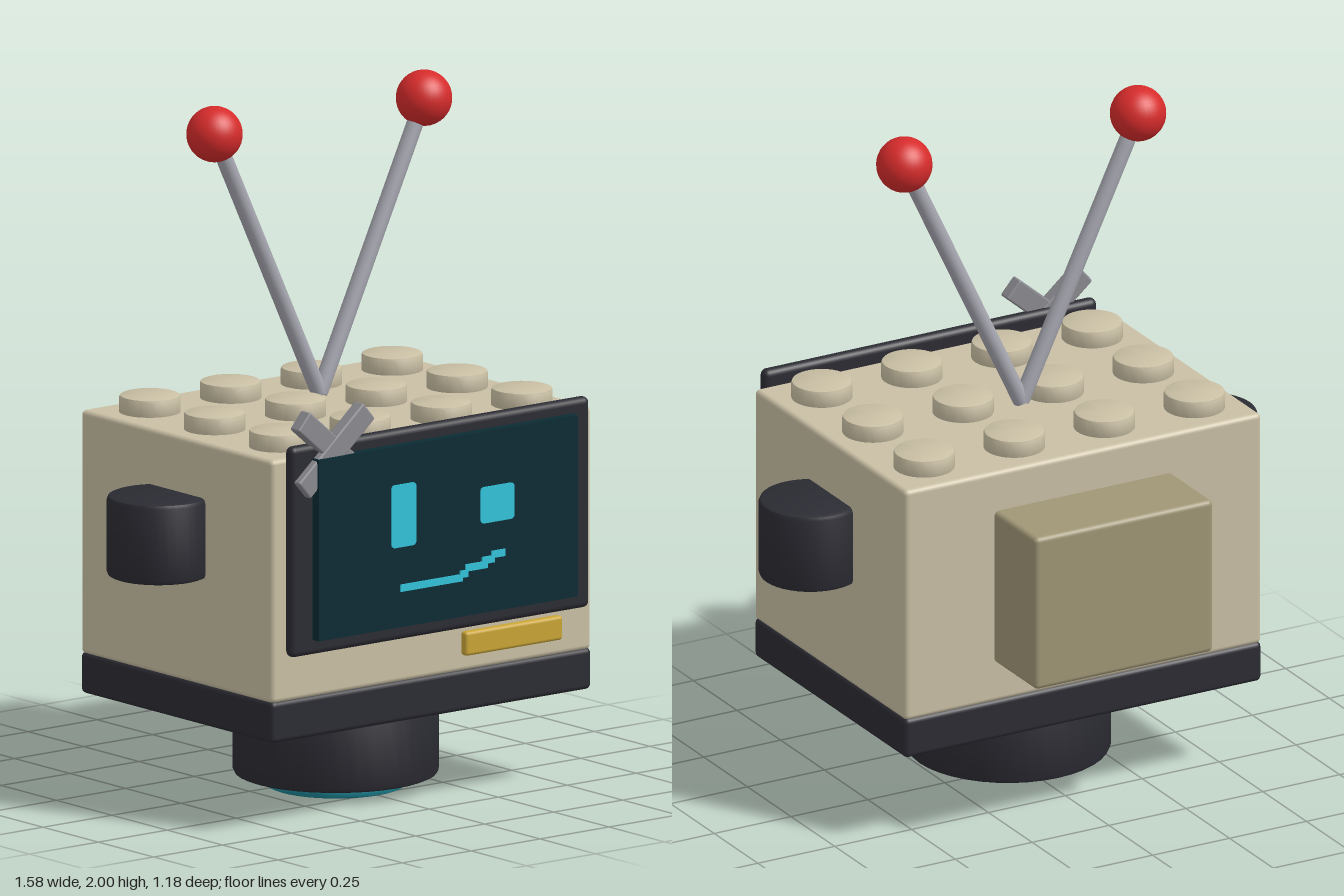
import * as THREE from 'three';
import { toCreasedNormals } from 'three/addons/utils/BufferGeometryUtils.js';
import { RoundedBoxGeometry } from 'three/addons/geometries/RoundedBoxGeometry.js';

const mat = (name, color) => {
  const m = new THREE.MeshStandardMaterial({ color });
  m.name = name;
  return m;
};

export function createModel() {
  const beige = mat('beige', 0xc9bfa4);
  const tan = mat('tan', 0xa09676);
  const charcoal = mat('charcoal', 0x2b2b33);
  const steel = mat('steel', 0xa6a6b0);
  const tapeGrey = mat('tapeGrey', 0x8a8a90);
  const red = mat('red', 0xd62b2b);
  const gold = mat('gold', 0xc9a536);
  const glass = mat('darkGlass', 0x0b2b33);
  const cyan = mat('cyan', 0x33c3da);
  const teal = mat('teal', 0x1c8494);

  const model = new THREE.Group();
  model.name = 'robot';

  const add = (name, geometry, material, x = 0, y = 0, z = 0, parent = model) => {
    const mesh = new THREE.Mesh(geometry, material);
    mesh.name = name;
    mesh.position.set(x, y, z);
    parent.add(mesh);
    return mesh;
  };

  // Softly rounded box given by its min/max extents
  const box = (name, material, [x0, x1], [y0, y1], [z0, z1], r = 0.015) =>
    add(name, new RoundedBoxGeometry(x1 - x0, y1 - y0, z1 - z0, 3, r), material,
      (x0 + x1) / 2, (y0 + y1) / 2, (z0 + z1) / 2);

  // Upright cylinder with small bevels, base at y = 0
  const drum = (r, h, b) => toCreasedNormals(new THREE.LatheGeometry([
    [0, 0], [r - b, 0], [r - b * 0.3, b * 0.3], [r, b],
    [r, h - b], [r - b * 0.3, h - b * 0.3], [r - b, h], [0, h],
  ].map(([x, y]) => new THREE.Vector2(x, y)), 40), 0.6);

  const midZ = 0.078;

  // Head, base plate and rear housing
  box('head', beige, [-0.58, 0.58], [0.385, 1.09], [-0.355, 0.512]);
  box('basePlate', charcoal, [-0.58, 0.58], [0.27, 0.39], [-0.356, 0.513]);
  box('rearHousing', tan, [-0.29, 0.29], [0.505, 0.97], [-0.59, -0.34]);

  // Neck with a hover light underneath
  add('neck', drum(0.292, 0.237, 0.015), charcoal, 0, 0.035, midZ);
  add('hoverLight', drum(0.203, 0.04, 0.012), teal, 0, 0, midZ);

  // Studs on top
  const studs = new THREE.Group();
  studs.name = 'studs';
  model.add(studs);
  const studGeometry = drum(0.087, 0.06, 0.008);
  for (let i = 0; i < 4; i++) {
    for (let j = 0; j < 3; j++) {
      add('stud', studGeometry, beige, (i - 1.5) * 0.293, 1.08, midZ + (j - 1) * 0.293, studs);
    }
  }

  // Ears and antennas, mirrored
  const earGeometry = drum(0.147, 0.235, 0.014);
  const ballGeometry = new THREE.SphereGeometry(0.08, 32, 20);
  const up = new THREE.Vector3(0, 1, 0);
  for (const [side, s] of [['left', 1], ['right', -1]]) {
    add(side + 'Ear', earGeometry, charcoal, s * 0.643, 0.694, midZ);
    const foot = new THREE.Vector3(0, 1.12, 0.003);
    const tip = new THREE.Vector3(s * 0.38, 1.922, 0.003);
    const dir = tip.clone().sub(foot);
    const rod = add(side + 'AntennaRod',
      new THREE.CylinderGeometry(0.024, 0.024, dir.length(), 16), steel);
    rod.position.copy(foot).add(tip).multiplyScalar(0.5);
    rod.quaternion.setFromUnitVectors(up, dir.normalize());
    add(side + 'AntennaBall', ballGeometry, red, tip.x, tip.y, tip.z);
  }

  // Screen and its frame
  box('screenFrame', charcoal, [-0.543, 0.54], [0.52, 1.13], [0.518, 0.557], 0.018);
  add('screen', new THREE.BoxGeometry(0.94, 0.525, 0.04), glass, 0, 0.828, 0.566);

  // Glowing face: softened rectangles for the eyes, stepped blocks for the mouth
  const eye = (name, x0, x1, y0, y1, c = 0.014) => {
    const s = new THREE.Shape();
    s.moveTo(x0 + c, y0).lineTo(x1 - c, y0);
    s.quadraticCurveTo(x1, y0, x1, y0 + c).lineTo(x1, y1 - c);
    s.quadraticCurveTo(x1, y1, x1 - c, y1).lineTo(x0 + c, y1);
    s.quadraticCurveTo(x0, y1, x0, y1 - c).lineTo(x0, y0 + c);
    s.quadraticCurveTo(x0, y0, x0 + c, y0);
    add(name, new THREE.ExtrudeGeometry(s, { depth: 0.005, bevelEnabled: false }), cyan, 0, 0, 0.585);
  };
  eye('rightEye', -0.208, -0.119, 0.798, 0.98);
  eye('leftEye', 0.115, 0.237, 0.825, 0.93);

  const mouth = new THREE.Group();
  mouth.name = 'mouth';
  model.add(mouth);
  for (const [x0, x1, y] of [
    [-0.175, 0.05, 0.679], [0.04, 0.07, 0.689], [0.06, 0.14, 0.705],
    [0.12, 0.165, 0.718], [0.155, 0.203, 0.731],
  ]) {
    add('mouthBlock', new THREE.BoxGeometry(x1 - x0, 0.021, 0.005), cyan, (x0 + x1) / 2, y, 0.5875, mouth);
  }

  // Name bar under the screen
  box('goldBar', gold, [0.085, 0.438], [0.44, 0.51], [0.532, 0.561], 0.01);

  // Crossed strips of tape on the screen corner
  const tape = new THREE.Group();
  tape.name = 'crossedTape';
  tape.position.set(-0.397, 1.105, 0.558);
  model.add(tape);
  [0.71, -0.71].forEach((angle, i) => {
    const strip = add('tapeStrip', new RoundedBoxGeometry(0.31, 0.066, 0.042, 2, 0.006),
      tapeGrey, 0, 0, i * -0.002, tape);
    strip.rotation.z = angle;
  });

  return model;
}
